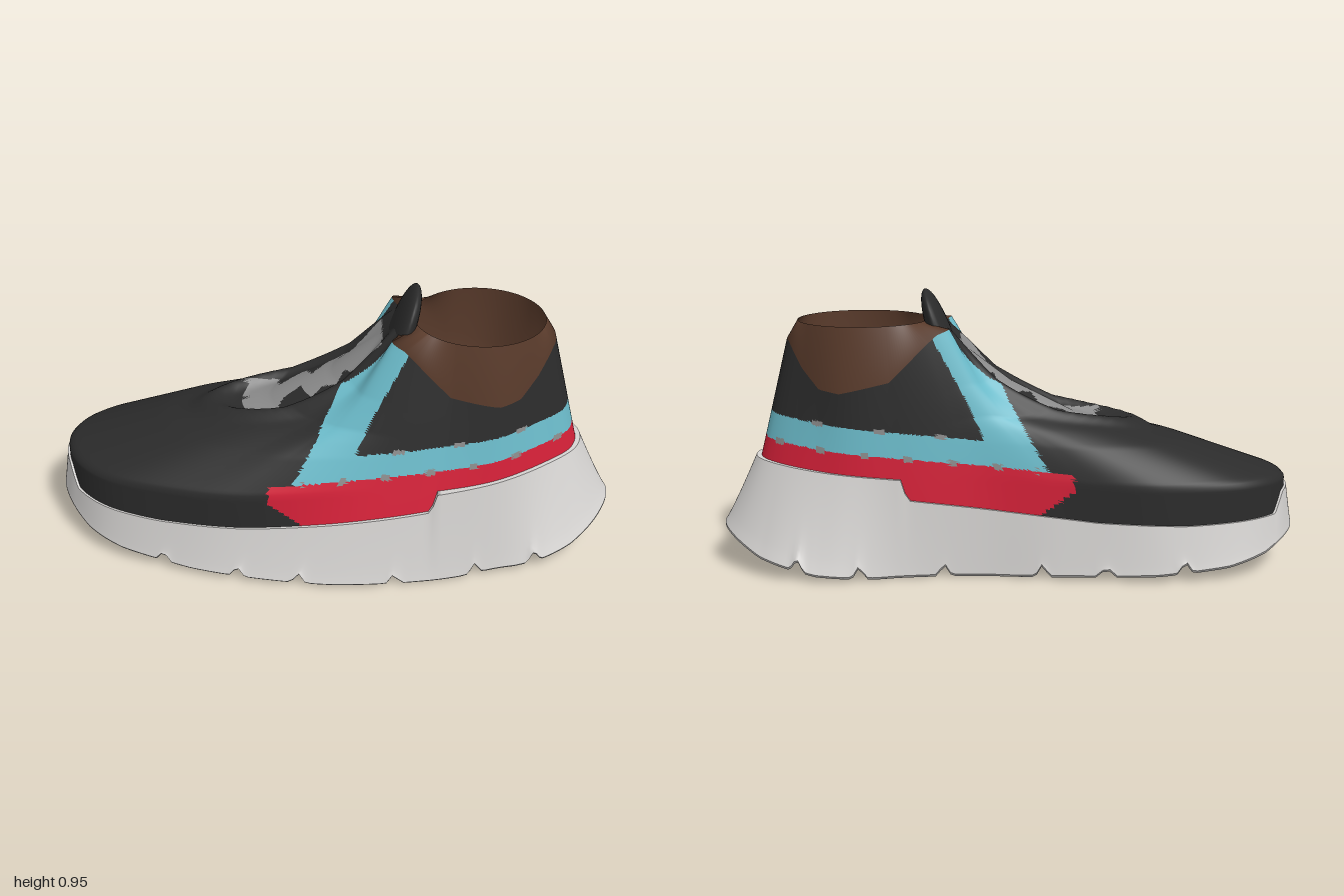
import * as THREE from 'three';

const mat = (name, color, side = THREE.FrontSide) => {
  const m = new THREE.MeshStandardMaterial({ color, side });
  m.name = name;
  return m;
};

// Piecewise-linear lookup through [x, value] pairs
function lookup(pairs, x) {
  if (x <= pairs[0][0]) return pairs[0][1];
  for (let i = 1; i < pairs.length; i++) {
    const [x0, v0] = pairs[i - 1], [x1, v1] = pairs[i];
    if (x <= x1) return v0 + (v1 - v0) * (x - x0) / (x1 - x0);
  }
  return pairs[pairs.length - 1][1];
}
const mix = THREE.MathUtils.lerp;

// Plan outlines, toe -> +z side -> heel -> -z side: sole x,z | upper base x,z | collar x,z
const PLAN = [
  [-1, -.09, -.97, -.09, .23, -.04], [-.96, .05, -.93, .06, .23, -.015],
  [-.83, .2, -.8, .19, .23, .015], [-.55, .31, -.5, .285, .22, .065],
  [-.29, .365, -.235, .32, .2, .13], [.03, .385, .085, .325, .27, .175],
  [.35, .35, .35, .295, .4, .2], [.57, .29, .57, .235, .57, .192],
  [.77, .25, .75, .13, .7, .1], [.93, .12, .85, .04, .75, .045],
  [1, -.05, .875, -.05, .765, -.04], [.95, -.19, .85, -.13, .75, -.125],
  [.79, -.335, .74, -.22, .7, -.185], [.6, -.375, .57, -.283, .57, -.267],
  [.35, -.325, .35, -.295, .4, -.275], [.08, -.31, .05, -.295, .27, -.25],
  [-.18, -.35, -.18, -.32, .2, -.21], [-.55, -.385, -.52, -.35, .22, -.145],
  [-.8, -.34, -.8, -.3, .23, -.095], [-.94, -.225, -.93, -.2, .23, -.065],
];
const COLS = 320;
const outline = (k) => {
  const curve = new THREE.CatmullRomCurve3(PLAN.map((r) => new THREE.Vector3(r[k], 0, r[k + 1])), true);
  return Array.from({ length: COLS }, (_, i) => curve.getPoint(i / COLS));
};
const SOLE = outline(0), BASE = outline(2), COLLAR = outline(4);

// Height rules along the shoe
const treadY = (x) => lookup([[-1, .13], [-.88, .075], [-.75, .045], [-.5, .02], [0, .003], [.45, .003], [.65, .02], [.85, .065], [1, .132]], x);
const GROOVES = [-.595, -.33, -.115, .22, .505, .715];
const groove = (x) => GROOVES.reduce((s, g) => s + .045 * Math.max(0, 1 - Math.abs(x - g) / .03) ** 1.5, 0);
const soleTop = (x) => lookup([[-.97, .28], [-.945, .27], [-.915, .2], [-.6, .19], [-.3, .2], [0, .23], [.345, .27], [.36, .34], [.87, .38]], x);
const baseY = (x) => lookup([[-.3, .18], [.35, .25], [.85, .34]], x);
const collarY = (x) => lookup([[.2, .84], [.24, .825], [.28, .79], [.4, .67], [.57, .63], [.64, .64], [.7, .705], [.75, .79]], x);
const VAMP = [[0, 0], [.2, 0], [.23, .015], [.41, .3], [.49, .47], [.55, .61], [.72, .795], [.95, .96], [1, 1]];

// Lace opening: raised rim around a shallow recess
function laceOpening(x, z) {
  const d = Math.hypot((x + .1) / .33, (z + .045) / .135);
  return .022 * Math.exp(-(((d - 1.05) / .15) ** 2)) - .015 * (1 - THREE.MathUtils.smoothstep(d, .75, 1));
}

// Closed rings joined into one surface; point(col, ring) returns [x, y, z]
function loft(rings, point) {
  const pos = [], index = [];
  for (let r = 0; r < rings; r++) for (let c = 0; c < COLS; c++) pos.push(...point(c, r));
  for (let r = 0; r < rings - 1; r++) for (let c = 0; c < COLS; c++) {
    const n = (c + 1) % COLS, a = r * COLS + c, b = r * COLS + n;
    index.push(a, b, a + COLS, b, b + COLS, a + COLS);
  }
  const g = new THREE.BufferGeometry();
  g.setAttribute('position', new THREE.Float32BufferAttribute(pos, 3));
  g.setIndex(index);
  g.computeVertexNormals();
  return g;
}

// Base outline pushed inward (or outward when negative)
function inset(c, d) {
  const b = BASE[c];
  const dir = new THREE.Vector3(THREE.MathUtils.clamp(b.x, -.6, .5), 0, -.04).sub(b).normalize();
  return b.clone().addScaledVector(dir, d);
}

const LACES = [[-.32, -.15], [-.21, -.15], [-.195, -.09], [-.11, -.145], [-.08, -.07], [-.02, -.14], [.03, -.14], [.05, -.1], [.08, -.13],
  [.165, -.13], [.165, .055], [.07, .045], [.035, .01], [.01, .05], [-.04, .03], [-.08, .065], [-.115, -.02], [-.18, .01], [-.2, .055], [-.32, .055]];
function inside(poly, x, y) {
  let hit = false;
  poly.forEach(([x1, y1], i) => {
    const [x0, y0] = poly[(i + poly.length - 1) % poly.length];
    if ((y1 > y) !== (y0 > y) && x < (x0 - x1) * (y - y1) / (y0 - y1) + x1) hit = !hit;
  });
  return hit;
}

// Which panel of the upper a point belongs to
function panel(x, y, z) {
  if (inside(LACES, x, z) && y > .4) return 'laces';
  const redTop = lookup([[-.22, .36], [.35, .41], [.86, .455]], x);
  const blueTop = lookup([[.08, .47], [.85, .545]], x);
  const left = lookup([[.36, -.14], [.6, 0], [.67, .03], [.84, .17]], y);
  const right = lookup([[.47, .08], [.62, .15], [.82, .26]], y);
  if (x > -.1 && Math.sin(x * 42) > .8 && Math.abs(y - redTop) < .011) return 'bandSpecks';
  if (x > .1 && Math.sin(x * 30 + 1) > .85 && Math.abs(y - blueTop) < .008) return 'bandSpecks';
  if (y < redTop) return x > -.22 && x > -.22 + (.3 - y) * 1.4 ? 'lowerBand' : 'upper';
  const clearOfTongue = Math.abs(z + .045) > .135;
  if (x > left && (y < blueTop || (x < right && clearOfTongue))) return 'sideStripe';
  return 'upper';
}

export function createModel() {
  const group = new THREE.Group();
  const black = mat('black fabric', 0x2b2b2b, THREE.DoubleSide);
  const brown = mat('brown lining', 0x5b3c2c, THREE.DoubleSide);
  const blue = mat('light blue', 0x6cbccb, THREE.DoubleSide);
  const red = mat('red', 0xd42038, THREE.DoubleSide);
  const pale = mat('pale foam', 0xd5d3d1);
  const grey = mat('mid grey', 0x8c8c8c, THREE.DoubleSide);
  const add = (name, geo, material) => {
    const m = new THREE.Mesh(geo, material);
    m.name = name;
    group.add(m);
  };

  // Outsole: grooved tread with a thin bevelled edge
  add('outsole', loft(9, (c, r) => {
    const { x, z } = SOLE[c];
    const mid = lookup([[-1, -.09], [0, .03], [1, -.05]], x);
    return [x, treadY(x) + groove(x) + (r === 8 ? .01 : 0), mix(mid, z, r === 8 ? 1 : .97 * r / 7)];
  }), pale);

  // Midsole: flared wall and the lip that meets the upper
  add('midsole', loft(13, (c, r) => {
    const s = r / 12, p = SOLE[c], q = inset(c, -.008), h = s ** .9;
    const y = mix(treadY(p.x) + .01, soleTop(BASE[c].x), s) + groove(p.x) * (1 - s) ** 6;
    return [mix(p.x, q.x, h), y, mix(p.z, q.z, h)];
  }), pale);
  add('midsoleLip', loft(2, (c, r) => {
    const q = inset(c, r ? .06 : -.008);
    return [q.x, soleTop(BASE[c].x), q.z];
  }), pale);

  // Upper: one smooth shell from sole to collar, divided into coloured panels
  const RINGS = 90;
  const shellPoint = (c, r) => {
    const t = r / (RINGS - 1), b = BASE[c], k = COLLAR[c];
    const front = 1 - THREE.MathUtils.smoothstep(b.x, -.4, .2);
    const h = mix(t, lookup(VAMP, t), front);
    const x = mix(b.x, k.x, h), z = mix(b.z, k.z, h);
    return [x, mix(baseY(b.x), collarY(k.x), t) + laceOpening(x, z), z];
  };
  const shell = loft(RINGS, shellPoint);
  const panels = { upper: [], laces: [], bandSpecks: [], lowerBand: [], sideStripe: [] };
  const pos = shell.attributes.position, idx = shell.index.array;
  for (let i = 0; i < idx.length; i += 3) {
    const t = [idx[i], idx[i + 1], idx[i + 2]];
    const mean = (get) => t.reduce((s, v) => s + pos[get](v), 0) / 3;
    panels[panel(mean('getX'), mean('getY'), mean('getZ'))].push(...t);
  }
  const paint = { upper: black, laces: grey, bandSpecks: grey, lowerBand: red, sideStripe: blue };
  for (const [name, list] of Object.entries(panels)) {
    const g = new THREE.BufferGeometry();
    g.setAttribute('position', shell.attributes.position);
    g.setAttribute('normal', shell.attributes.normal);
    g.setIndex(list);
    add(name, g, paint[name]);
  }

  // Ankle lining: insole, inner wall up to the collar edge, then an oval cuff
  add('ankleLining', loft(5, (c, r) => {
    const k = COLLAR[c], a = Math.atan2(k.z + .04, k.x - .5);
    if (r === 4) return [.5 + .227 * Math.cos(a), .855, -.04 + .215 * Math.sin(a)];
    if (r === 3) return shellPoint(c, RINGS - 1);
    const s = [0, .85, .93][r];
    return [mix(.5, k.x, s), r === 2 ? .52 : .45, mix(-.04, k.z, s)];
  }), brown);

  // Tongue tab: flattened, broad-topped ellipsoid leaning back
  const tongue = new THREE.SphereGeometry(1, 32, 24);
  const tp = tongue.attributes.position;
  for (let i = 0; i < tp.count; i++) {
    const v = tp.getY(i);
    tp.setXYZ(i, .22 + .065 * v + .045 * tp.getX(i), .76 + .198 * v, -.045 + .14 * (1 + .3 * v * v) * tp.getZ(i));
  }
  tongue.computeVertexNormals();
  add('tongue', tongue, black);

  return group;
}
